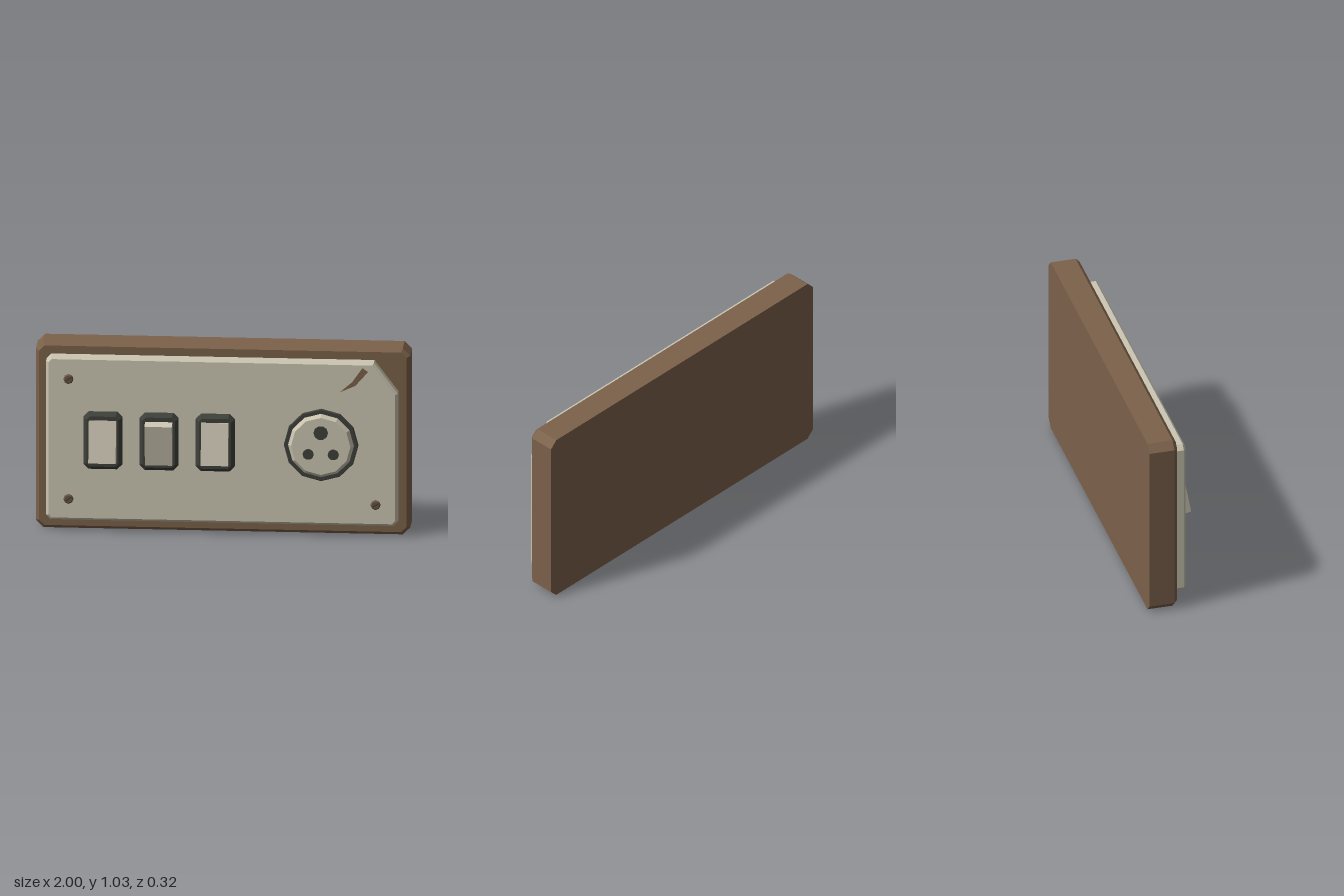
import * as THREE from 'three';

const paint = (name, color) => {
  const m = new THREE.MeshStandardMaterial({ color });
  m.name = name;
  m.flatShading = true;
  return m;
};

// Move every side of a convex counter-clockwise outline inwards by d
function inset(pts, d) {
  const n = pts.length;
  const normal = (a, b) => {
    const l = Math.hypot(b[0] - a[0], b[1] - a[1]);
    return [-(b[1] - a[1]) / l, (b[0] - a[0]) / l];
  };
  return pts.map((p, i) => {
    const u = normal(pts[(i + n - 1) % n], p), v = normal(p, pts[(i + 1) % n]);
    const k = d / (1 + u[0] * v[0] + u[1] * v[1]);
    return [p[0] + (u[0] + v[0]) * k, p[1] + (u[1] + v[1]) * k];
  });
}

// Slab from a convex outline, with a bevelled front edge
function slab(pts, z0, z1, size, depth = size) {
  const n = pts.length, front = inset(pts, size);
  const loops = [[pts, z0], [pts, z1 - depth], [front, z1]]
    .map(([loop, z]) => loop.map(([x, y]) => [x, y, z]));
  const pos = [];
  const tri = (...corners) => corners.forEach((c) => pos.push(...c));
  for (let k = 0; k < 2; k++) {
    for (let i = 0; i < n; i++) {
      const j = (i + 1) % n, a = loops[k], b = loops[k + 1];
      tri(a[i], a[j], b[j]);
      tri(a[i], b[j], b[i]);
    }
  }
  for (let i = 1; i < n - 1; i++) {
    tri(loops[2][0], loops[2][i], loops[2][i + 1]);
    tri(loops[0][0], loops[0][i + 1], loops[0][i]);
  }
  const g = new THREE.BufferGeometry();
  g.setAttribute('position', new THREE.Float32BufferAttribute(pos, 3));
  g.computeVertexNormals();
  return g;
}

// Rectangle outline with cut corners; the top right cut can differ
const cutRect = (x0, x1, y0, y1, c, cx = c, cy = c) => [
  [x0 + c, y0], [x1 - c, y0], [x1, y0 + c], [x1, y1 - cy],
  [x1 - cx, y1], [x0 + c, y1], [x0, y1 - c], [x0, y0 + c],
];

const ngon = (x, y, r, n) => Array.from({ length: n }, (_, i) => {
  const a = (i / n) * Math.PI * 2;
  return [x + r * Math.cos(a), y + r * Math.sin(a)];
});

export function createModel() {
  const wood = paint('wood', 0x7c624b);
  const cream = paint('cream', 0xcdc7b3);
  const dark = paint('dark plastic', 0x3f413b);
  const bronze = paint('bronze', 0x6a5644);

  const model = new THREE.Group();
  model.name = 'switchPanel';
  const add = (name, geometry, material, parent = model) => {
    const mesh = new THREE.Mesh(geometry, material);
    mesh.name = name;
    parent.add(mesh);
    return mesh;
  };

  // Wooden backing board and face plate with a broken corner
  add('backBoard', slab(cutRect(-1, 1, 0, 1.034, 0.04), -0.158, 0, 0.018, 0.02), wood);
  add('facePlate', slab(cutRect(-0.94, 0.938, 0.066, 0.972, 0.025, 0.128, 0.17), 0, 0.062, 0.013), cream);

  // Chip in the plate that shows the wood
  const chip = new THREE.Shape([[0.63, 0.808], [0.712, 0.845], [0.78, 0.923], [0.75, 0.944], [0.695, 0.865]]
    .map(([x, y]) => new THREE.Vector2(x, y)));
  add('chip', new THREE.ExtrudeGeometry(chip, { depth: 0.003, bevelEnabled: false }), wood)
    .position.z = 0.061;

  // Screws with slots
  for (const [x, y] of [[-0.82, 0.851], [-0.82, 0.185], [0.82, 0.185]]) {
    const screw = new THREE.Group();
    screw.name = 'screw';
    model.add(screw);
    add('screwHead', slab(ngon(x, y, 0.027, 8), 0.055, 0.073, 0.006), bronze, screw);
    const slot = add('screwSlot', new THREE.BoxGeometry(0.036, 0.007, 0.003), dark, screw);
    slot.position.set(x, y, 0.073);
    slot.rotation.z = 0.6;
  }

  // Rocker switches; the middle one is flipped
  [[-0.635, -1], [-0.335, 1], [-0.035, -1]].forEach(([x, tilt]) => {
    const rockerSwitch = new THREE.Group();
    rockerSwitch.name = 'rockerSwitch';
    model.add(rockerSwitch);
    add('switchFrame', slab(cutRect(x - 0.104, x + 0.104, 0.36, 0.674, 0.028), 0.055, 0.1, 0.018), dark, rockerSwitch);
    const rocker = add('rocker', new THREE.BoxGeometry(0.146, 0.23, 0.08), cream, rockerSwitch);
    rocker.position.set(x, 0.516, tilt > 0 ? 0.098 : 0.094);
    rocker.rotation.x = tilt * 0.185;
  });

  // Round three-pin socket
  const socket = new THREE.Group();
  socket.name = 'socket';
  model.add(socket);
  const cx = 0.53, cy = 0.515;
  add('socketRing', slab(ngon(cx, cy, 0.199, 12), 0.055, 0.081, 0.003), dark, socket);
  add('socketFace', slab(ngon(cx, cy, 0.176, 12), 0.07, 0.1, 0.017, 0.018), cream, socket);
  for (const [dx, dy, r] of [[0, 0.075, 0.039], [-0.067, -0.045, 0.03], [0.067, -0.045, 0.03]]) {
    add('pinHole', slab(ngon(cx + dx, cy + dy, r, 10), 0.099, 0.105, 0.001), dark, socket);
  }

  return model;
}
